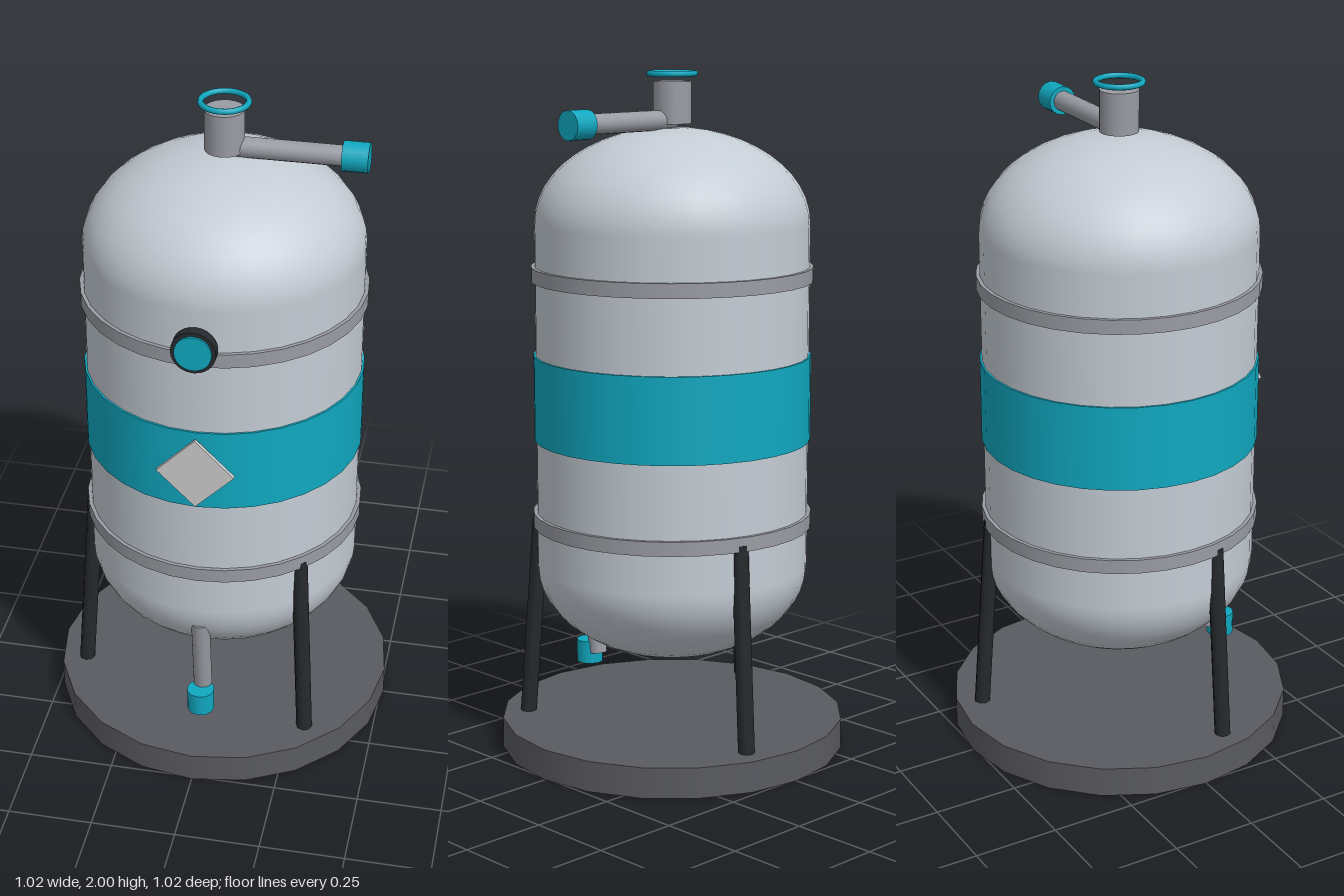
import * as THREE from 'three';

const mat = (color, extra = {}) => new THREE.MeshStandardMaterial({ color, ...extra });
const shell = mat(0xc4ccd4);
const steel = mat(0x9a9ca4);
const teal = mat(0x10a8c0);
const dark = mat(0x26292d);
const slab = mat(0x5a5b60);
const plate = mat(0xcccccc);

export function createModel() {
  const model = new THREE.Group();

  const add = (name, geometry, material, x = 0, y = 0, z = 0) => {
    const mesh = new THREE.Mesh(geometry, material);
    mesh.name = name;
    mesh.position.set(x, y, z);
    model.add(mesh);
    return mesh;
  };

  // Cylinder running between two points
  const rod = (name, from, to, radius, sides, material) => {
    const a = new THREE.Vector3(...from), b = new THREE.Vector3(...to);
    const dir = b.clone().sub(a);
    const mesh = add(name, new THREE.CylinderGeometry(radius, radius, dir.length(), sides), material);
    mesh.position.copy(a).add(b).multiplyScalar(0.5);
    mesh.quaternion.setFromUnitVectors(new THREE.Vector3(0, 1, 0), dir.normalize());
    return mesh;
  };

  // Floor plate
  add('base', new THREE.CylinderGeometry(0.51, 0.51, 0.09, 20), slab, 0, 0.045);

  // Tank: straight wall with flattened domes at both ends
  const R = 0.4, dome = 0.275, low = 0.555, high = 1.565, steps = 12;
  const profile = [];
  for (let i = 0; i <= steps; i++) {
    const t = (i / steps) * Math.PI / 2;
    profile.push(new THREE.Vector2(R * Math.sin(t), low - dome * Math.cos(t)));
  }
  for (let i = 0; i <= steps; i++) {
    const t = (i / steps) * Math.PI / 2;
    profile.push(new THREE.Vector2(R * Math.cos(t), high + dome * Math.sin(t)));
  }
  add('tank', new THREE.LatheGeometry(profile, 32), shell);

  // Hoops and the wide coloured band
  for (const y of [0.695, 1.42]) {
    add('hoop', new THREE.CylinderGeometry(0.411, 0.411, 0.042, 32), steel, 0, y);
  }
  add('band', new THREE.CylinderGeometry(0.406, 0.406, 0.25, 32), teal, 0, 1.057);

  // Three splayed legs
  for (let i = 0; i < 3; i++) {
    const a = Math.PI / 4 + i * Math.PI * 2 / 3;
    const c = Math.cos(a), s = Math.sin(a);
    rod('leg', [0.434 * c, 0.08, 0.434 * s], [0.39 * c, 0.69, 0.39 * s], 0.024, 8, dark);
  }

  // Filler neck with its raised rim
  add('neck', new THREE.CylinderGeometry(0.056, 0.056, 0.12, 20), steel, 0, 1.91);
  const rim = add('neckRim', new THREE.TorusGeometry(0.066, 0.0085, 8, 24), teal, 0, 1.9915);
  rim.rotation.x = Math.PI / 2;

  // Side outlet at the top
  rod('outletPipe', [0, 1.86, 0], [0.34, 1.86, 0], 0.029, 16, steel);
  rod('outletCap', [0.327, 1.86, 0], [0.4, 1.86, 0], 0.042, 16, teal);

  // Drain at the bottom front
  rod('drainPipe', [0, 0.49, 0.366], [0, 0.2, 0.33], 0.028, 12, steel);
  add('drainCap', new THREE.CylinderGeometry(0.041, 0.041, 0.07, 12), teal, 0, 0.2, 0.368);

  // Round gauge
  rod('gaugeCase', [0, 1.457, 0.405], [0, 1.457, 0.435], 0.063, 24, dark);
  rod('gaugeFace', [0, 1.457, 0.42], [0, 1.457, 0.441], 0.052, 24, teal);

  // Diamond sign plate
  const sign = add('signPlate', new THREE.BoxGeometry(0.156, 0.156, 0.012), plate, 0, 1.057, 0.42);
  sign.rotation.z = Math.PI / 4;

  return model;
}
